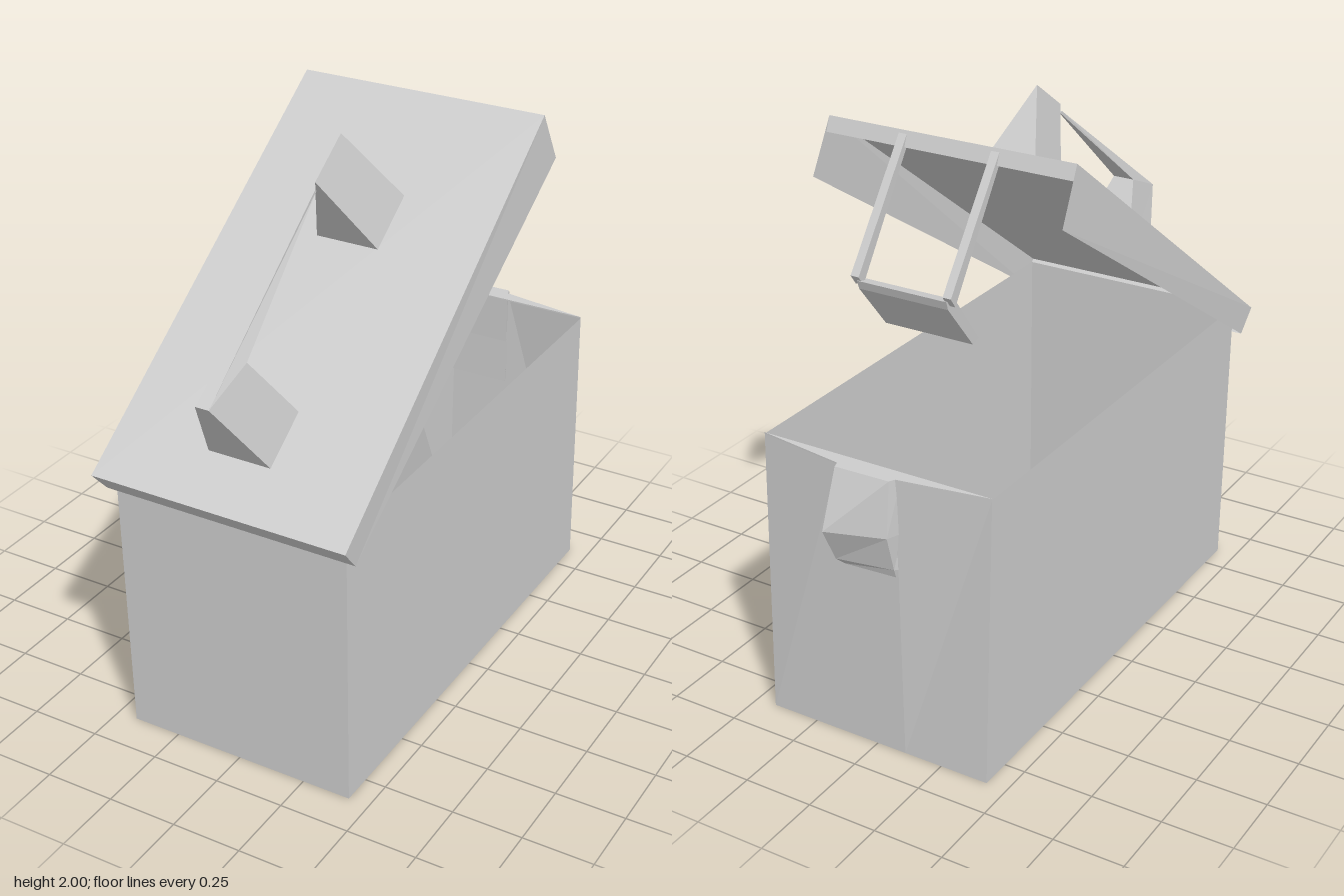
import * as THREE from 'three';

const grey = new THREE.MeshStandardMaterial({ color: 0xcccccc, side: THREE.DoubleSide });
grey.name = 'plain grey';

// Joins equal-length rings of [x, y, z] points with flat faces; caps are optional.
function loft(name, rings, capStart = true, capEnd = true) {
  const pos = [];
  const tri = (a, b, c) => pos.push(...a, ...b, ...c);
  const n = rings[0].length;
  for (let r = 0; r < rings.length - 1; r++) {
    for (let i = 0; i < n; i++) {
      const j = (i + 1) % n, lo = rings[r], hi = rings[r + 1];
      tri(lo[i], lo[j], hi[j]);
      tri(lo[i], hi[j], hi[i]);
    }
  }
  const cap = (ring, flip) => {
    for (let i = 1; i < n - 1; i++) {
      if (flip) tri(ring[0], ring[i + 1], ring[i]);
      else tri(ring[0], ring[i], ring[i + 1]);
    }
  };
  if (capStart) cap(rings[0], true);
  if (capEnd) cap(rings[rings.length - 1], false);
  const geo = new THREE.BufferGeometry();
  geo.setAttribute('position', new THREE.Float32BufferAttribute(pos, 3));
  geo.computeVertexNormals();
  const mesh = new THREE.Mesh(geo, grey);
  mesh.name = name;
  return mesh;
}

// Side profile of [z, y] points, swept from x0 to x1.
const slab = (name, profile, x0, x1) =>
  loft(name, [x0, x1].map(x => profile.map(([z, y]) => [x, y, z])));

export function createModel() {
  const model = new THREE.Group();
  model.name = 'openLidBox';

  // Open box: back wall bulges slightly at the top, where the catch sits
  const boxRing = (w, y, front, corner, mid) => [
    [-w, y, front], [w, y, front], [w, y, corner], [0.11, y, mid], [-0.11, y, mid], [-w, y, corner]];
  model.add(loft('boxBody', [
    boxRing(0.425, 0, 0.86, -0.865, -0.865),
    boxRing(0.43, 1.03, 0.875, -0.83, -0.88)], true, false));
  // Thin rim along the back edge
  model.add(loft('backRim', [
    [[-0.43, 1.035, -0.83], [-0.11, 1.035, -0.88], [0.11, 1.035, -0.88], [0.43, 1.035, -0.83]],
    [[-0.43, 1.03, -0.83], [-0.11, 1.03, -0.88], [0.11, 1.03, -0.88], [0.43, 1.03, -0.83]]]));

  // Lopsided catch on the back wall
  const catchRing = (y, zRight, zLeft, base) => [
    [0.115, y, base], [0.1, y, zLeft], [-0.1, y, zRight], [-0.12, y, base]];
  model.add(loft('catch', [
    catchRing(0.67, -0.872, -0.875, -0.865),
    catchRing(0.71, -0.885, -0.92, -0.865),
    catchRing(0.84, -0.92, -0.985, -0.865),
    catchRing(1.035, -0.9, -0.905, -0.86)]));

  // Tilted lid: hollow beneath and open at the raised end
  const lid = new THREE.Group();
  lid.name = 'lid';
  const lowTop = s => [s * 0.47, 1.01, 0.95], lowBottom = s => [s * 0.465, 0.93, 0.88];
  const highTop = s => [s * 0.455, 1.97, -0.375], highBottom = s => [s * 0.46, 1.79, -0.47];
  const panel = (name, a, b, c, d) => {
    const pos = [a, b, c, a, c, d].flat();
    const geo = new THREE.BufferGeometry();
    geo.setAttribute('position', new THREE.Float32BufferAttribute(pos, 3));
    geo.computeVertexNormals();
    const mesh = new THREE.Mesh(geo, grey);
    mesh.name = name;
    lid.add(mesh);
  };
  panel('lidTop', lowTop(-1), lowTop(1), highTop(1), highTop(-1));
  panel('lidFrontEdge', lowBottom(-1), lowBottom(1), lowTop(1), lowTop(-1));
  panel('lidLeftSide', lowBottom(1), highBottom(1), highTop(1), lowTop(1));
  panel('lidRightSide', lowTop(-1), highTop(-1), highBottom(-1), lowBottom(-1));
  panel('lidBackLip', highTop(-1), highTop(1), [0.455, 1.92, -0.395], [-0.455, 1.92, -0.395]);
  model.add(lid);

  // Handle: a wedge post at each end and a bar that tapers to a point
  const handle = new THREE.Group();
  handle.name = 'handle';
  handle.add(loft('lowerPost', [
    [[-0.115, 1.13, 0.8], [0.115, 1.13, 0.8], [0.115, 1.25, 0.63], [-0.115, 1.25, 0.63]],
    [[-0.025, 1.4, 0.99], [0.025, 1.4, 0.99], [0.04, 1.48, 0.8], [-0.04, 1.48, 0.8]]]));
  handle.add(loft('upperPost', [
    [[-0.115, 1.61, 0.13], [0.115, 1.61, 0.13], [0, 1.89, 0.325]],
    [[-0.115, 1.735, -0.045], [0.115, 1.735, -0.045], [0, 2, 0.165]]]));
  handle.add(loft('bar', [
    [[-0.025, 1.4, 0.99], [0.025, 1.4, 0.99], [0.04, 1.48, 0.8], [-0.04, 1.48, 0.8]],
    [[-0.002, 1.865, 0.33], [0.002, 1.865, 0.33], [0.002, 1.86, 0.32], [-0.002, 1.86, 0.32]]]));
  model.add(handle);

  // Latch: two thin arms hanging from the raised end, with a hook plate between them
  const latch = new THREE.Group();
  latch.name = 'latch';
  const arm = [[-0.375, 1.965], [-0.665, 1.575], [-0.64, 1.54], [-0.38, 1.92]];
  latch.add(slab('rightArm', arm, -0.185, -0.155), slab('leftArm', arm, 0.155, 0.185));
  latch.add(slab('hookPlate', [[-0.61, 1.55], [-0.66, 1.56], [-0.65, 1.53], [-0.51, 1.36], [-0.475, 1.37]], -0.165, 0.165));
  model.add(latch);

  return model;
}
